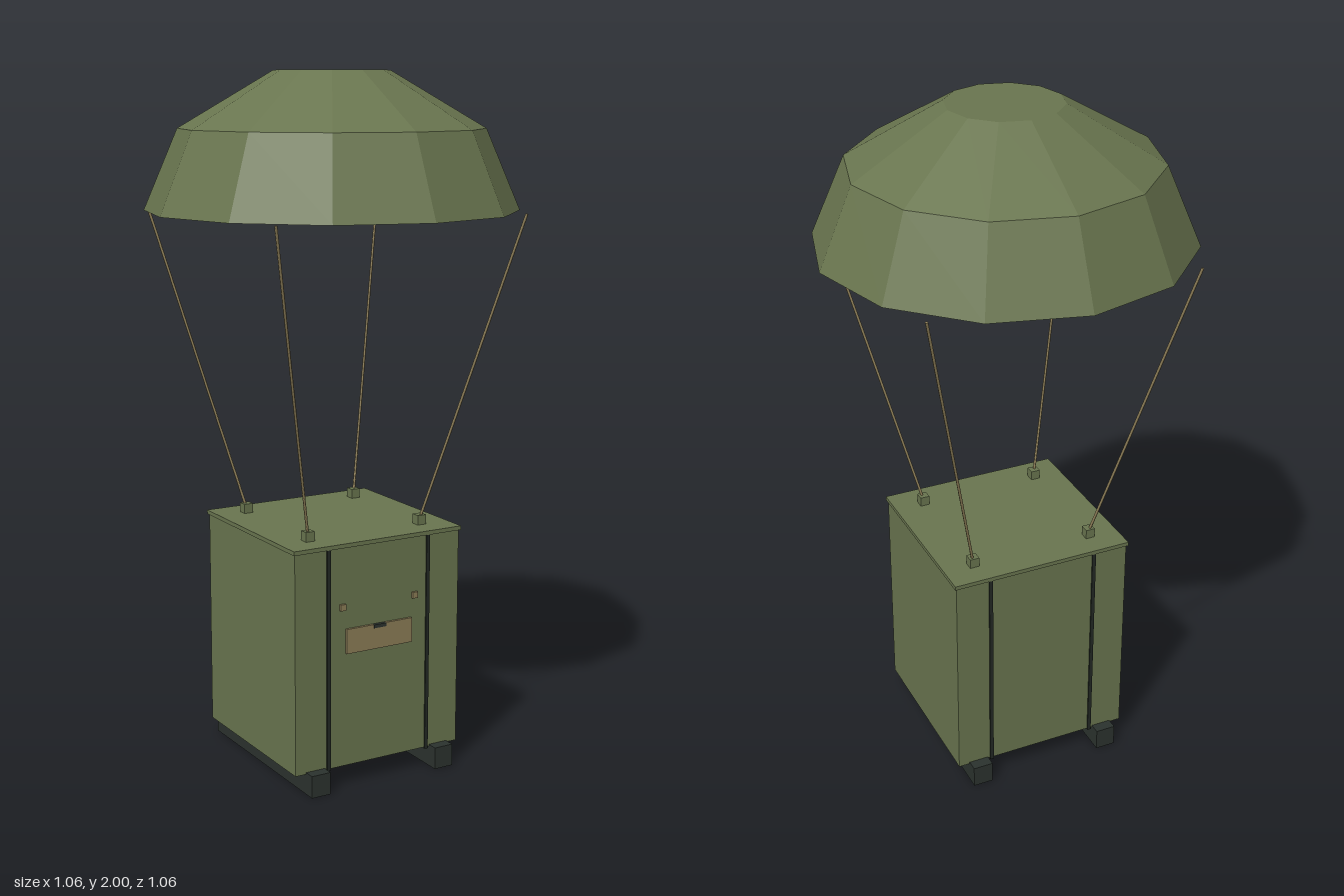
import * as THREE from 'three';

const mat = (name, color) => {
  const m = new THREE.MeshStandardMaterial({ color });
  m.name = name;
  return m;
};

export function createModel() {
  const olive = mat('olive green', 0x69754f);
  const dark = mat('dark rubber', 0x2b322e);
  const black = mat('strap black', 0x222823);
  const tan = mat('tan', 0x8c7d57);
  const model = new THREE.Group();
  model.name = 'airdropCrate';

  const add = (name, geometry, material, x = 0, y = 0, z = 0) => {
    const mesh = new THREE.Mesh(geometry, material);
    mesh.name = name;
    mesh.position.set(x, y, z);
    model.add(mesh);
    return mesh;
  };
  const box = (name, w, h, d, material, x, y, z) =>
    add(name, new THREE.BoxGeometry(w, h, d), material, x, y, z);

  // Canopy: closed twelve-sided dome with faceted rings
  const profile = [[0, 1.612], [0.532, 1.612], [0.434, 1.84], [0.163, 2], [0, 2]]
    .map(([r, y]) => new THREE.Vector2(r, y));
  const canopy = new THREE.LatheGeometry(profile, 12).toNonIndexed();
  canopy.computeVertexNormals();
  add('canopy', canopy, olive);

  // Crate body and its slightly wider lid
  box('crateBody', 0.54, 0.645, 0.524, olive, 0, 0.3825, 0);
  box('crateLid', 0.55, 0.012, 0.534, olive, 0, 0.708, 0);

  for (const x of [-1, 1]) {
    // Skids under the crate
    box('skid', 0.06, 0.065, 0.59, dark, x * 0.206, 0.0325, 0);

    for (const z of [-1, 1]) {
      // Straps down the front and back
      box('strap', 0.011, 0.652, 0.006, black, x * 0.164, 0.382, z * 0.263);

      // Lugs on the lid with ropes up to the canopy rim
      box('lug', 0.028, 0.028, 0.028, olive, x * 0.185, 0.728, z * 0.185);
      const start = new THREE.Vector3(x * 0.187, 0.735, z * 0.187);
      const end = new THREE.Vector3(x * 0.392, 1.612, z * 0.392);
      const rope = add('rope', new THREE.CylinderGeometry(0.004, 0.004, start.distanceTo(end), 6), tan);
      rope.position.copy(start).lerp(end, 0.5);
      rope.quaternion.setFromUnitVectors(new THREE.Vector3(0, 1, 0), end.clone().sub(start).normalize());
    }

    // Small studs above the front plate
    box('stud', 0.018, 0.018, 0.009, tan, x * 0.119, 0.531, 0.2655);
  }

  // Front plate with its latch
  box('frontPlate', 0.216, 0.072, 0.009, tan, 0, 0.43, 0.2655);
  box('latch', 0.04, 0.01, 0.012, dark, 0, 0.461, 0.267);

  return model;
}
